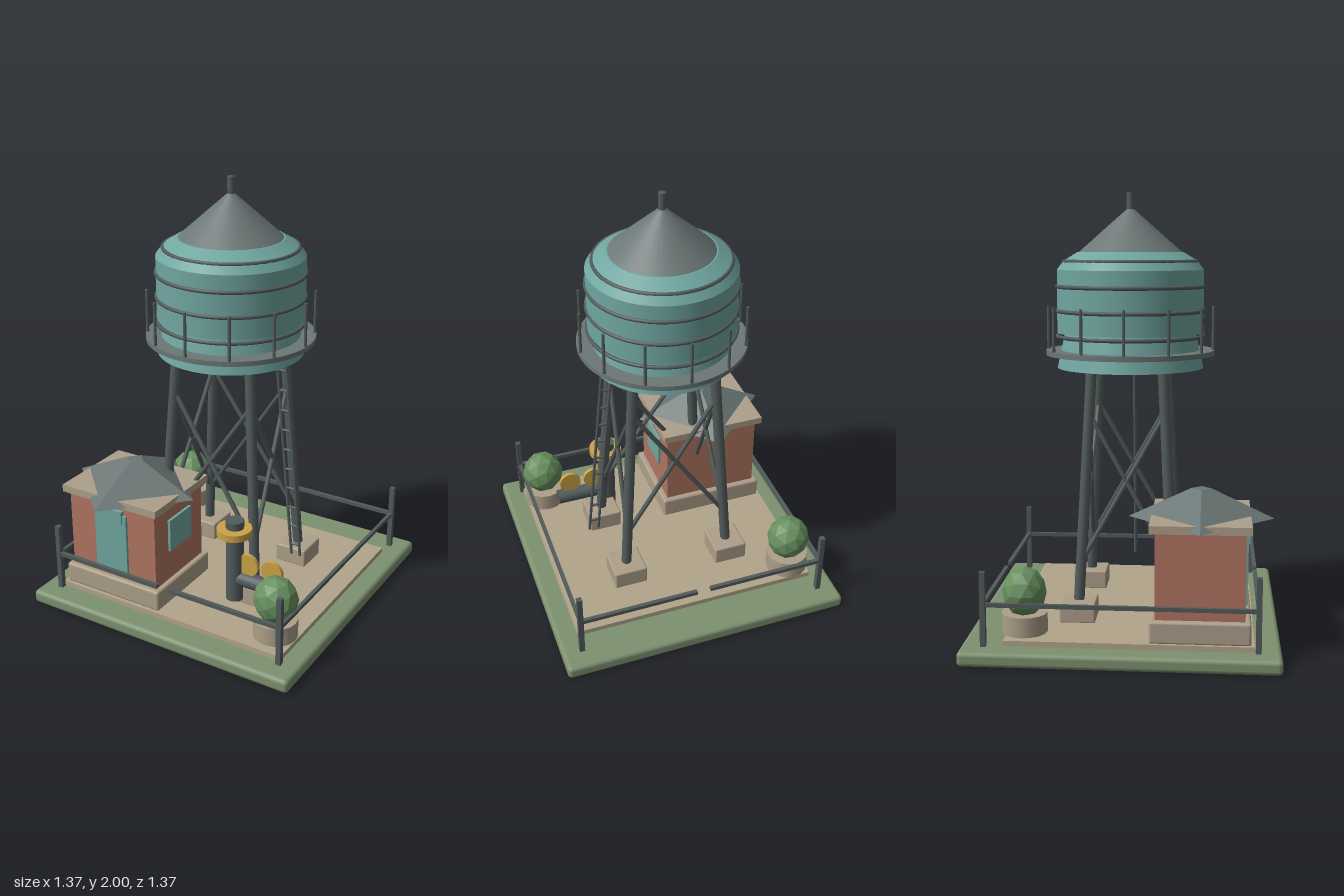
import * as THREE from 'three';
import { RoundedBoxGeometry } from 'three/addons/geometries/RoundedBoxGeometry.js';

const mat = (name, color, flatShading = false) => {
  const m = new THREE.MeshStandardMaterial({ color, flatShading });
  m.name = name;
  return m;
};

export function createModel() {
  const grass = mat('grass', 0x7d9170);
  const paving = mat('paving', 0xb2a58c);
  const concrete = mat('concrete', 0xad9f89);
  const teal = mat('teal paint', 0x70a6a1);
  const brick = mat('brick', 0xb07561);
  const steel = mat('dark steel', 0x525b5b);
  const slate = mat('slate roof', 0x6b7776);
  const roofFlat = slate.clone();
  roofFlat.flatShading = true;
  const brass = mat('brass', 0xcba347);
  const leaf = mat('leaves', 0x68905f, true);

  const model = new THREE.Group();
  model.name = 'waterTowerYard';
  const group = (name) => {
    const g = new THREE.Group();
    g.name = name;
    model.add(g);
    return g;
  };
  const add = (parent, name, geometry, material, x = 0, y = 0, z = 0) => {
    const m = new THREE.Mesh(geometry, material);
    m.name = name;
    m.position.set(x, y, z);
    parent.add(m);
    return m;
  };
  // Box given by its min and max corners, optionally rounded
  const block = (parent, name, material, [x0, y0, z0], [x1, y1, z1], r = 0) => {
    const s = [x1 - x0, y1 - y0, z1 - z0];
    const g = r ? new RoundedBoxGeometry(...s, 2, r) : new THREE.BoxGeometry(...s);
    return add(parent, name, g, material, (x0 + x1) / 2, (y0 + y1) / 2, (z0 + z1) / 2);
  };
  // Upright frustum between two heights
  const drum = (parent, name, material, r0, y0, r1, y1, x = 0, z = 0, sides = 40) =>
    add(parent, name, new THREE.CylinderGeometry(r1, r0, y1 - y0, sides), material, x, (y0 + y1) / 2, z);
  // Round bar between two points
  const bar = (parent, name, material, a, b, r, sides = 8) => {
    const p = new THREE.Vector3(...a), q = new THREE.Vector3(...b);
    const d = q.clone().sub(p);
    const m = add(parent, name, new THREE.CylinderGeometry(r, r, d.length(), sides), material);
    m.position.copy(p).add(q).multiplyScalar(0.5);
    m.quaternion.setFromUnitVectors(new THREE.Vector3(0, 1, 0), d.normalize());
    return m;
  };

  // Ground
  const ground = group('ground');
  block(ground, 'grassBase', grass, [-0.685, 0.005, -0.685], [0.685, 0.07, 0.685], 0.02);
  block(ground, 'pavedYard', paving, [-0.59, 0.06, -0.5], [0.59, 0.094, 0.57]);

  // Tank
  const tank = group('tank');
  drum(tank, 'tankSkirt', teal, 0.335, 1.21, 0.3, 1.37);
  drum(tank, 'tankWall', teal, 0.335, 1.37, 0.335, 1.655);
  drum(tank, 'tankShoulder', teal, 0.335, 1.655, 0.305, 1.695);
  drum(tank, 'tankUpperShoulder', teal, 0.305, 1.695, 0.24, 1.735);
  drum(tank, 'tankRoof', slate, 0.245, 1.725, 0.018, 1.925);
  drum(tank, 'finial', steel, 0.017, 1.91, 0.017, 2, 0, 0, 16);
  for (const [r, y] of [[0.335, 1.355], [0.335, 1.47], [0.335, 1.58], [0.302, 1.692]]) {
    const band = add(tank, 'tankBand', new THREE.TorusGeometry(r, 0.009, 8, 48), steel, 0, y, 0);
    band.rotation.x = Math.PI / 2;
  }

  // Walkway ring with its posts
  const walkway = group('walkway');
  const ring = new THREE.Shape().absarc(0, 0, 0.386, 0, Math.PI * 2);
  ring.holes.push(new THREE.Path().absarc(0, 0, 0.315, 0, Math.PI * 2, true));
  const deck = add(walkway, 'walkwayDeck',
    new THREE.ExtrudeGeometry(ring, { depth: 0.022, bevelEnabled: false, curveSegments: 48 }), slate, 0, 1.292, 0);
  deck.rotation.x = Math.PI / 2;
  for (let i = 0; i < 12; i++) {
    const a = (i * Math.PI) / 6;
    const x = 0.379 * Math.sin(a), z = 0.379 * Math.cos(a);
    drum(walkway, 'walkwayPost', steel, 0.007, 1.28, 0.007, 1.49, x, z, 8);
  }

  // Legs, footings and cross braces
  const tower = group('tower');
  const legAt = (sx, sz, y) => {
    const t = (1.21 - y) / 1.04;
    return [sx * (0.192 + 0.066 * t), y, sz * (0.16 + 0.053 * t)];
  };
  const corners = [[1, 1], [1, -1], [-1, -1], [-1, 1]];
  corners.forEach(([sx, sz], i) => {
    const [nx, nz] = corners[(i + 1) % 4];
    bar(tower, 'leg', steel, legAt(sx, sz, 0.16), legAt(sx, sz, 1.215), 0.024, 10);
    const fx = sx * 0.258, fz = sz * 0.213;
    block(tower, 'footing', concrete, [fx - 0.08, 0.09, fz - 0.08], [fx + 0.08, 0.18, fz + 0.08], 0.008);
    bar(tower, 'brace', steel, legAt(sx, sz, 1.02), legAt(nx, nz, 0.35), 0.011);
    bar(tower, 'brace', steel, legAt(nx, nz, 1.02), legAt(sx, sz, 0.35), 0.011);
  });

  // Ladder
  const ladder = group('ladder');
  const railX = (y) => 0.238 + (1.21 - y) * 0.1;
  for (const off of [0, 0.045]) {
    bar(ladder, 'ladderRail', steel, [railX(1.21) + off, 1.21, 0], [railX(0.24) + off, 0.24, 0], 0.007);
  }
  for (let i = 0; i < 10; i++) {
    const y = 1.157 - i * 0.096;
    bar(ladder, 'ladderRung', steel, [railX(y) - 0.006, y, 0], [railX(y) + 0.051, y, 0], 0.006);
  }

  // Pump house
  const house = group('pumpHouse');
  block(house, 'houseBase', concrete, [-0.578, 0.09, 0.12], [-0.054, 0.19, 0.555], 0.012);
  block(house, 'houseWalls', brick, [-0.552, 0.185, 0.145], [-0.08, 0.575, 0.53]);
  block(house, 'cornice', concrete, [-0.578, 0.57, 0.12], [-0.058, 0.605, 0.553]);
  drum(house, 'houseRoof', roofFlat, 0.32, 0.583, 0.045, 0.713, -0.316, 0.336, 4);
  block(house, 'door', teal, [-0.405, 0.215, 0.52], [-0.23, 0.525, 0.543]);
  block(house, 'doorHood', teal, [-0.386, 0.485, 0.52], [-0.25, 0.547, 0.55]);
  block(house, 'window', teal, [-0.09, 0.34, 0.25], [-0.067, 0.498, 0.425]);

  // Standpipe with side pipe and valve wheels
  const pump = group('pump');
  drum(pump, 'standpipe', steel, 0.042, 0.115, 0.042, 0.52, 0.2, 0.297, 20);
  drum(pump, 'standpipeFlange', brass, 0.081, 0.45, 0.081, 0.484, 0.2, 0.302, 28);
  bar(pump, 'sidePipe', steel, [0.2, 0.226, 0.297], [0.462, 0.226, 0.297], 0.036, 20);
  for (const x of [0.27, 0.395]) {
    bar(pump, 'valveWheel', brass, [x, 0.308, 0.288], [x, 0.308, 0.306], 0.054, 24);
  }

  // Planters with bushes
  for (const [x, z] of [[0.5, 0.45], [-0.5, -0.42]]) {
    const planter = group('planter');
    drum(planter, 'planterTub', concrete, 0.1, 0.11, 0.1, 0.197, x, z, 16);
    const bush = add(planter, 'bush', new THREE.IcosahedronGeometry(0.103, 1), leaf, x, 0.287, z);
    bush.scale.set(1, 1.06, 0.94);
  }

  // Fence: corner posts, full side rails, split front and back rails
  const fence = group('fence');
  for (const s of [-1, 1]) {
    for (const t of [-1, 1]) {
      const x = s * 0.593, z = t * 0.585;
      block(fence, 'fencePost', steel, [x - 0.012, 0.07, z - 0.012], [x + 0.012, 0.397, z + 0.012]);
      const [a, b] = s < 0 ? [-0.593, -0.033] : [0.033, 0.593];
      block(fence, 'fenceRail', steel, [a, 0.243, z - 0.009], [b, 0.261, z + 0.009]);
    }
    block(fence, 'fenceSideRail', steel, [s * 0.593 - 0.008, 0.243, -0.585], [s * 0.593 + 0.008, 0.261, 0.585]);
  }
  return model;
}
